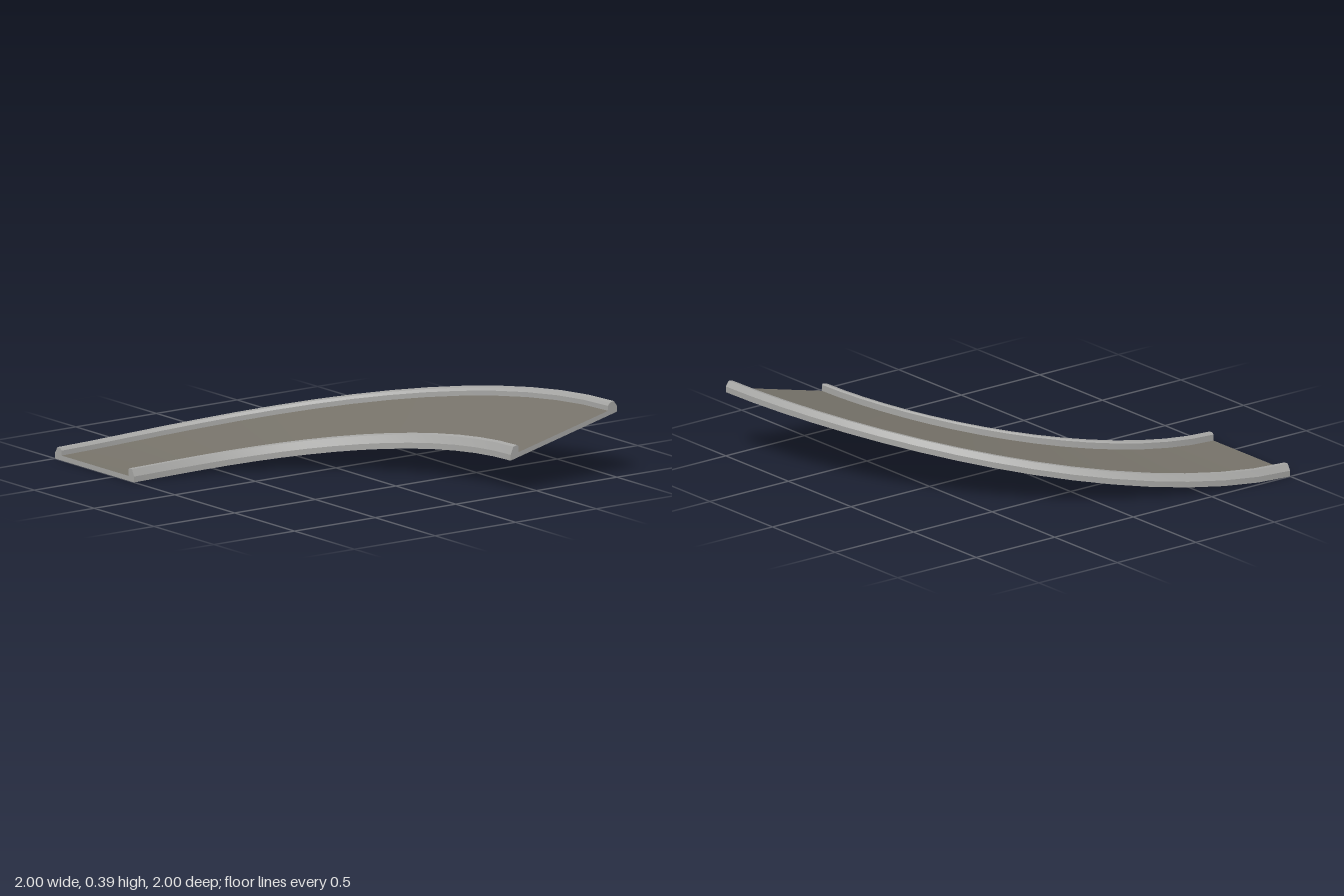
import * as THREE from 'three';
import { toCreasedNormals } from 'three/addons/utils/BufferGeometryUtils.js';

const SEGMENTS = 16;
const INNER = 1.34, OUTER = 2;

// Section point (radius, height) carried round the quarter turn; the deck climbs and banks
function place([r, h], angle) {
  const bank = (r - INNER) / (OUTER - INNER);
  const climb = Math.pow(Math.sin(angle), 1.67);
  const y = h + THREE.MathUtils.lerp(0.175, 0.335, bank) * climb;
  return [1 - r * Math.cos(angle), y, 1 - r * Math.sin(angle)];
}

// Sweep an anticlockwise run of section points, with optional end caps
function sweep(section, capped) {
  const positions = [];
  const tri = (...corners) => corners.forEach((c) => positions.push(...c));
  for (let i = 0; i < SEGMENTS; i++) {
    const a0 = (i / SEGMENTS) * Math.PI / 2;
    const a1 = ((i + 1) / SEGMENTS) * Math.PI / 2;
    for (let j = 0; j < section.length - 1; j++) {
      const a = place(section[j], a0), b = place(section[j + 1], a0);
      const c = place(section[j + 1], a1), d = place(section[j], a1);
      tri(a, b, c);
      tri(a, c, d);
    }
  }
  if (capped) {
    const outline = section.map(([r, h]) => new THREE.Vector2(r, h));
    for (const [i, j, k] of THREE.ShapeUtils.triangulateShape(outline, [])) {
      const at = (n, angle) => place(section[n], angle);
      tri(at(i, 0), at(k, 0), at(j, 0));
      const end = Math.PI / 2;
      tri(at(i, end), at(j, end), at(k, end));
    }
  }
  const geometry = new THREE.BufferGeometry();
  geometry.setAttribute('position', new THREE.Float32BufferAttribute(positions, 3));
  return toCreasedNormals(geometry, 0.4);
}

export function createModel() {
  const concrete = new THREE.MeshStandardMaterial({ color: 0xa6a6a4 });
  const asphalt = new THREE.MeshStandardMaterial({ color: 0x77736a });
  const group = new THREE.Group();
  group.name = 'bankedRoadCurve';

  // Slab and both kerbs as one shell, open where the road surface lies
  const shell = [
    [1.388, 0.025], [1.388, 0.057], [1.38, 0.065], [1.357, 0.065], [1.34, 0.03],
    [1.34, 0], [2, 0], [2, 0.03], [1.98, 0.062],
    [1.955, 0.062], [1.945, 0.05], [1.945, 0.025],
  ];
  const slab = new THREE.Mesh(sweep(shell, true), concrete);
  slab.name = 'slabAndKerbs';

  // Road surface between the kerbs
  const road = new THREE.Mesh(sweep([[1.945, 0.025], [1.388, 0.025]], false), asphalt);
  road.name = 'roadSurface';

  group.add(slab, road);
  return group;
}
